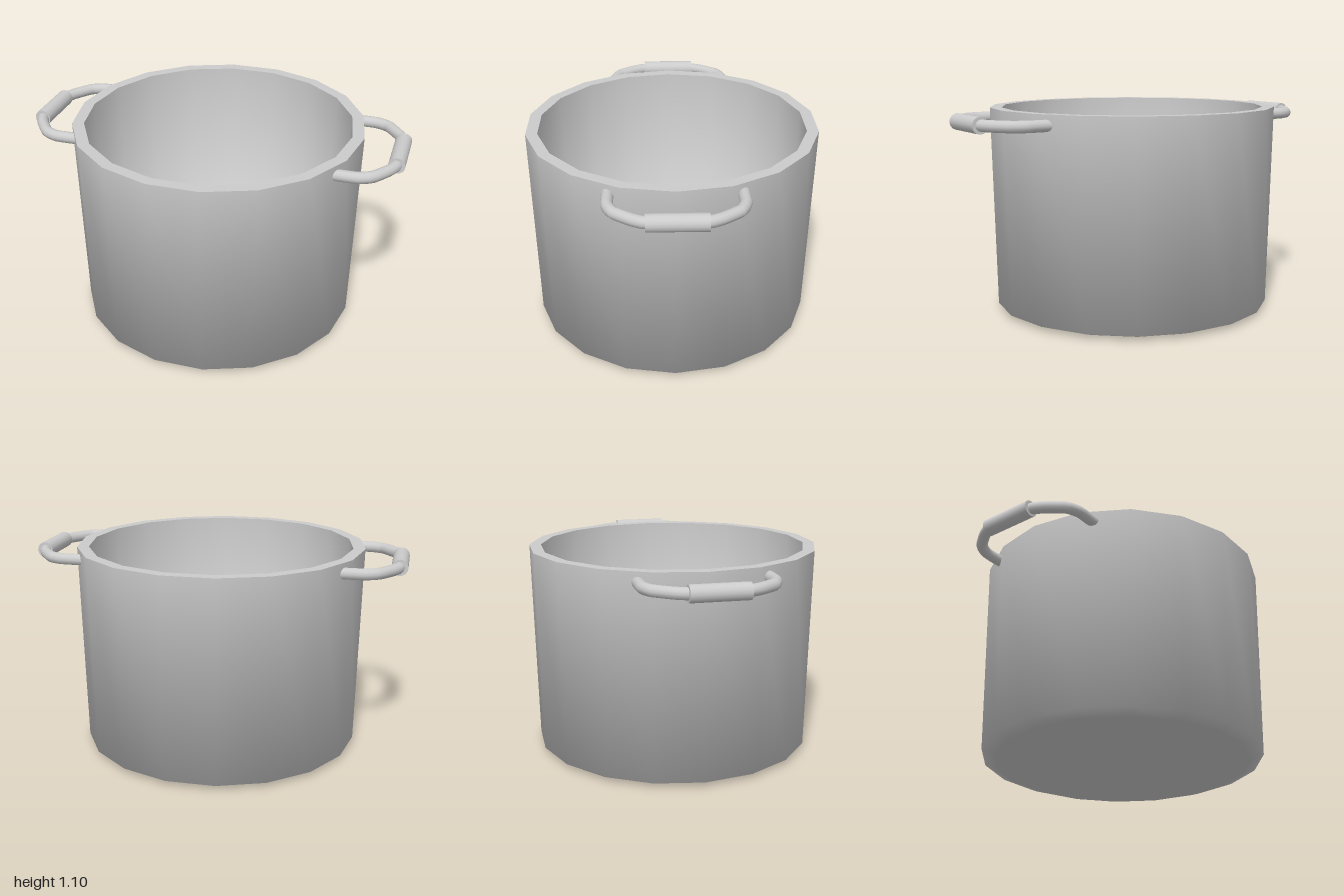
import * as THREE from 'three';
import { toCreasedNormals } from 'three/addons/utils/BufferGeometryUtils.js';

const material = new THREE.MeshStandardMaterial({ color: 0xcccccc });

function addMesh(parent, name, geometry) {
  const mesh = new THREE.Mesh(geometry, material);
  mesh.name = name;
  parent.add(mesh);
  return mesh;
}

// Thick-walled 18-sided vessel: underside, outer wall, flat rim, inner wall, floor
function createPot() {
  const profile = [
    [0, 0], [0.68, 0], [0.75, 0.025], [0.772, 1.1],
    [0.71, 1.1], [0.69, 0.075], [0.63, 0.05], [0, 0.05],
  ].map(([r, y]) => new THREE.Vector2(r, y));
  const lathe = new THREE.LatheGeometry(profile, 18, Math.PI / 2);
  return toCreasedNormals(lathe, THREE.MathUtils.degToRad(80));
}

// Handle on the +x side: two bent arms joined by a thicker grip
function createHandle(name) {
  const handle = new THREE.Group();
  handle.name = name;
  for (const side of [1, -1]) {
    const points = [
      [0.66, 0.32], [0.79, 0.32], [0.86, 0.29], [0.925, 0.205], [0.952, 0.15], [0.956, 0.1],
    ].map(([x, z]) => new THREE.Vector3(x, 0, z * side));
    const path = new THREE.CatmullRomCurve3(points, false, 'catmullrom', 0.25);
    addMesh(handle, side > 0 ? 'frontArm' : 'backArm',
      new THREE.TubeGeometry(path, 16, 0.03, 12));
  }
  const grip = new THREE.CylinderGeometry(0.043, 0.043, 0.29, 16);
  grip.rotateX(Math.PI / 2);
  addMesh(handle, 'grip', grip).position.x = 0.957;
  handle.position.y = 1.045;
  return handle;
}

export function createModel() {
  const model = new THREE.Group();
  model.name = 'cookingPot';
  addMesh(model, 'pot', createPot());
  model.add(createHandle('leftHandle'));
  const right = createHandle('rightHandle');
  right.rotation.y = Math.PI;
  model.add(right);
  return model;
}
